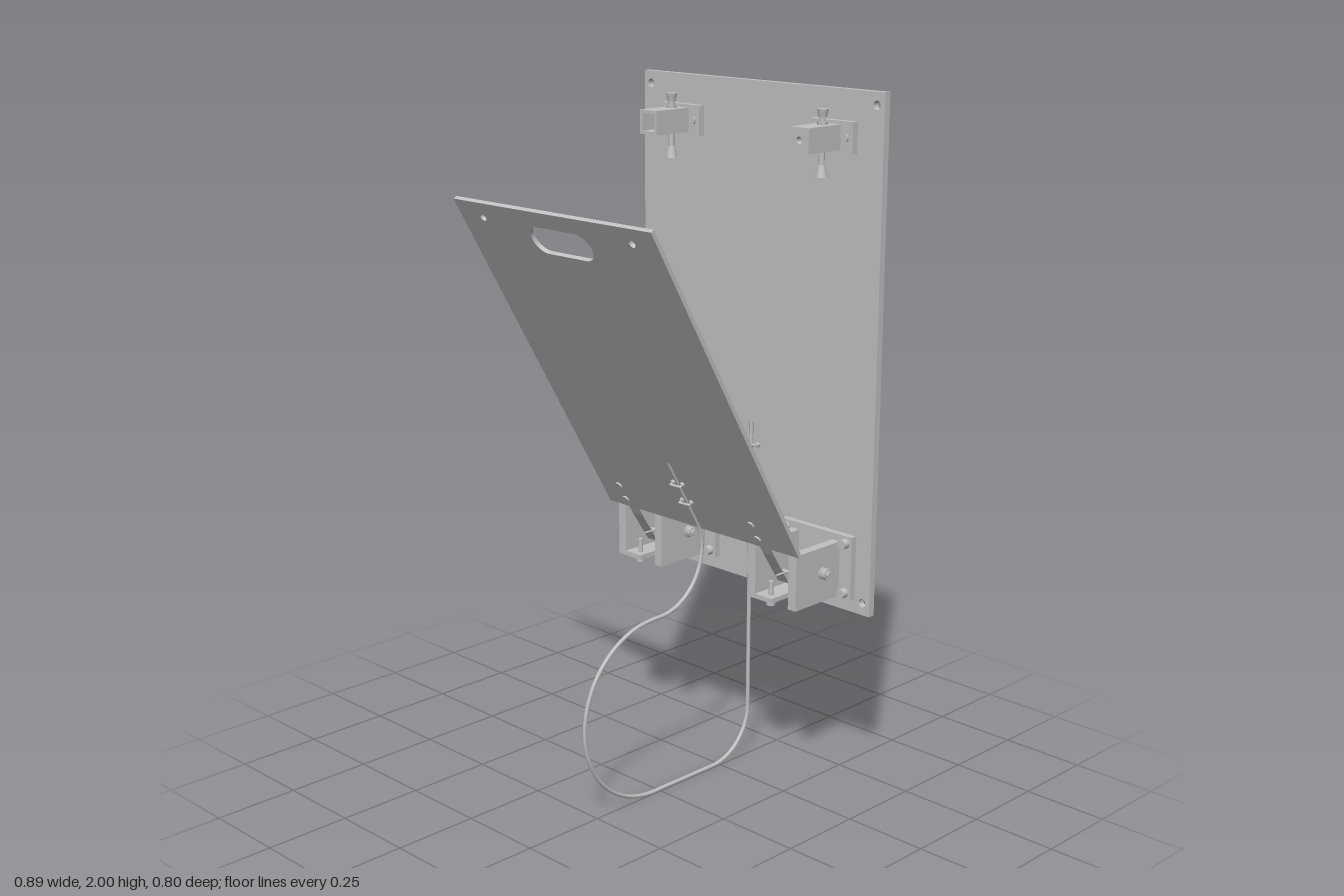
import * as THREE from 'three';

const steel = new THREE.MeshStandardMaterial({ color: 0xc0c0c0 });
steel.name = 'grey steel';

function add(parent, name, geometry, x = 0, y = 0, z = 0) {
  const m = new THREE.Mesh(geometry, steel);
  m.name = name;
  m.position.set(x, y, z);
  parent.add(m);
  return m;
}
// Box given by its minimum and maximum corners
function box(parent, name, x0, x1, y0, y1, z0, z1) {
  return add(parent, name, new THREE.BoxGeometry(x1 - x0, y1 - y0, z1 - z0),
    (x0 + x1) / 2, (y0 + y1) / 2, (z0 + z1) / 2);
}
// Cylinder centred on a point, running along an axis
function rod(parent, name, axis, r, length, x, y, z, sides = 20, r2 = r) {
  const g = new THREE.CylinderGeometry(r, r2, length, sides);
  if (axis === 'x') g.rotateZ(-Math.PI / 2);
  if (axis === 'z') g.rotateX(Math.PI / 2);
  return add(parent, name, sides < 8 ? g.toNonIndexed() : g, x, y, z);
}
function rect(x0, x1, y0, y1) {
  return new THREE.Shape([[x0, y0], [x1, y0], [x1, y1], [x0, y1]].map(p => new THREE.Vector2(...p)));
}
function hole(shape, x, y, r) {
  shape.holes.push(new THREE.Path().absarc(x, y, r, 0, Math.PI * 2, true));
}
const extrude = (shape, depth) =>
  new THREE.ExtrudeGeometry(shape, { depth, bevelEnabled: false, curveSegments: 16 });

const BRACKETS = [-0.26, 0.26];
const BOLT_X = [-0.11, 0.11], BOLT_Y = [0.615, 0.76];
const CLIP_Y = [0.9, 0.97];

function backPlate(root) {
  const s = rect(-0.443, 0.443, 0.555, 2);
  for (const x of [-0.417, 0.417]) for (const y of [0.59, 1.965]) hole(s, x, y, 0.012);
  for (const c of BRACKETS) for (const x of BOLT_X) for (const y of BOLT_Y) hole(s, c + x, y, 0.006);
  for (const c of [-0.28, 0.28]) for (const x of [-0.05, 0.05]) hole(s, c + x, 1.875, 0.006);
  for (const x of [-0.02, 0.02]) for (const y of CLIP_Y) hole(s, x, y, 0.007);
  add(root, 'backPlate', extrude(s, 0.021), 0, 0, -0.398);
}

function flap(root) {
  const g = new THREE.Group();
  g.name = 'flap';
  g.position.set(0, 0.77, -0.17);
  g.rotation.x = 0.53;
  root.add(g);
  const s = rect(-0.37, 0.37, 0, 1.109);
  // Hand slot with round ends
  const slot = new THREE.Path();
  slot.absarc(0.07, 1.016, 0.043, Math.PI / 2, -Math.PI / 2, true);
  slot.absarc(-0.07, 1.016, 0.043, -Math.PI / 2, -Math.PI * 1.5, true);
  slot.closePath();
  s.holes.push(slot);
  for (const x of [-0.28, 0.28]) hole(s, x, 1.06, 0.011);
  add(g, 'flapPanel', extrude(s, 0.012));
  for (const y of [0.03, 0.085])
    for (const x of [-0.287, 0.233]) rod(g, 'flapScrew', 'z', 0.012, 0.006, x, y, 0.014);
  // Cable clips through the panel
  for (const y of [0.108, 0.178]) {
    rod(g, 'clipBack', 'x', 0.004, 0.036, 0, y, -0.004, 10);
    rod(g, 'clipFront', 'x', 0.004, 0.036, 0, y, 0.026, 10);
    for (const x of [-0.018, 0.018]) {
      rod(g, 'clipLeg', 'z', 0.004, 0.036, x, y, 0.011, 10);
      rod(g, 'clipNut', 'z', 0.008, 0.008, x, y, 0.016, 6);
    }
  }
}

function hingeBracket(root, cx) {
  const g = new THREE.Group();
  g.name = 'hingeBracket';
  g.position.x = cx;
  root.add(g);
  // Mounting plate and its bolts
  const base = rect(-0.13, 0.13, 0.595, 0.78);
  add(g, 'bracketBase', extrude(base, 0.02), 0, 0, -0.377);
  for (const x of BOLT_X) for (const y of BOLT_Y) rod(g, 'baseBolt', 'z', 0.014, 0.02, x, y, -0.346);
  // Cheeks and foot
  box(g, 'outerCheek', -0.09, -0.062, 0.6, 0.76, -0.357, -0.175);
  box(g, 'innerCheek', 0.06, 0.088, 0.6, 0.76, -0.357, -0.175);
  box(g, 'bracketFoot', -0.07, 0, 0.6, 0.614, -0.357, -0.175);
  rod(g, 'stopScrew', 'y', 0.013, 0.016, -0.025, 0.593, -0.2);
  rod(g, 'stopScrewShank', 'y', 0.007, 0.05, -0.025, 0.63, -0.2, 12);
  // Tilted arm carrying the flap
  const pts = [[-0.115, 0.86], [-0.165, 0.89], [-0.26, 0.73], [-0.315, 0.705],
    [-0.315, 0.66], [-0.25, 0.64], [-0.187, 0.735]];
  const arm = new THREE.Shape(pts.map(p => new THREE.Vector2(...p)));
  add(g, 'hingeArm', extrude(arm, 0.042).rotateY(-Math.PI / 2), -0.003);
  // Pivot bolt, bosses and sleeve
  const y = 0.685, z = -0.287;
  rod(g, 'pivotBolt', 'x', 0.01, 0.21, 0.01, y, z);
  rod(g, 'pivotHead', 'x', 0.018, 0.012, -0.096, y, z, 6);
  rod(g, 'pivotWasher', 'x', 0.018, 0.004, 0.09, y, z);
  rod(g, 'pivotNut', 'x', 0.017, 0.016, 0.1, y, z, 6);
  rod(g, 'pivotBoss', 'x', 0.035, 0.01, -0.05, y, z);
  rod(g, 'pivotSleeve', 'x', 0.019, 0.063, 0.029, y, z);
  // Spring legs
  rod(g, 'springPinRear', 'x', 0.005, 0.05, 0.025, y + 0.03, -0.33, 10);
  rod(g, 'springPinFront', 'x', 0.005, 0.055, 0.025, y, -0.225, 10);
  rod(g, 'springLeg', 'z', 0.003, 0.1, 0.012, y, -0.23, 10);
  rod(g, 'springStop', 'z', 0.011, 0.006, 0.05, y, -0.225);
}

function latch(root, cx) {
  const g = new THREE.Group();
  g.name = 'latch';
  g.position.x = cx;
  root.add(g);
  box(g, 'latchFlange', -0.075, 0.075, 1.832, 1.918, -0.377, -0.357);
  for (const x of [-0.05, 0.05]) rod(g, 'flangeScrew', 'z', 0.011, 0.006, x, 1.875, -0.355);
  // Open housing on one side, drilled housing on the other
  const s = rect(-0.033, 0.033, 1.841, 1.909);
  if (cx < 0) s.holes.push(rect(-0.024, 0.024, 1.85, 1.9));
  else hole(s, 0, 1.875, 0.01);
  add(g, 'latchHousing', extrude(s, 0.13), 0, 0, -0.36);
  // Vertical pull pin
  const z = -0.322;
  rod(g, 'pinShaft', 'y', 0.008, 0.15, 0, 1.86, z);
  rod(g, 'pinTop', 'y', 0.016, 0.022, 0, 1.939, z, 20, 0.011);
  rod(g, 'pinCollar', 'y', 0.015, 0.008, 0, 1.912, z, 6);
  rod(g, 'pinKnob', 'y', 0.01, 0.032, 0, 1.786, z, 20, 0.017);
}

function cable(root) {
  // Side profile as (z, y): lines and tangent arcs
  const p = new THREE.Path();
  p.moveTo(-0.031, 0.985);
  p.lineTo(-0.147, 0.786);
  p.absarc(0, 0.705, 0.168, Math.PI * 0.84, Math.PI * 1.5, false);
  p.lineTo(0.027, 0.537);
  p.absarc(0.027, 0.272, 0.264, Math.PI / 2, -Math.PI / 2, true);
  p.lineTo(-0.22, 0.008);
  p.absarc(-0.22, 0.158, 0.15, -Math.PI / 2, -Math.PI, true);
  p.lineTo(-0.37, 1.035);
  const pts = p.getSpacedPoints(160).map(v => new THREE.Vector3(-0.003, v.y, v.x));
  add(root, 'cable', new THREE.TubeGeometry(new THREE.CatmullRomCurve3(pts), 320, 0.006, 10));
  // Clips on the back plate
  for (const y of CLIP_Y) {
    rod(root, 'plateClip', 'x', 0.004, 0.04, 0, y, -0.361, 10);
    for (const x of [-0.02, 0.02]) rod(root, 'plateClipLeg', 'z', 0.004, 0.03, x, y, -0.375, 10);
    rod(root, 'plateClipNut', 'z', 0.008, 0.012, 0.02, y, -0.37, 6);
  }
}

export function createModel() {
  const root = new THREE.Group();
  root.name = 'foldingPanelAssembly';
  backPlate(root);
  flap(root);
  for (const x of BRACKETS) hingeBracket(root, x);
  for (const x of [-0.28, 0.28]) latch(root, x);
  cable(root);
  return root;
}
